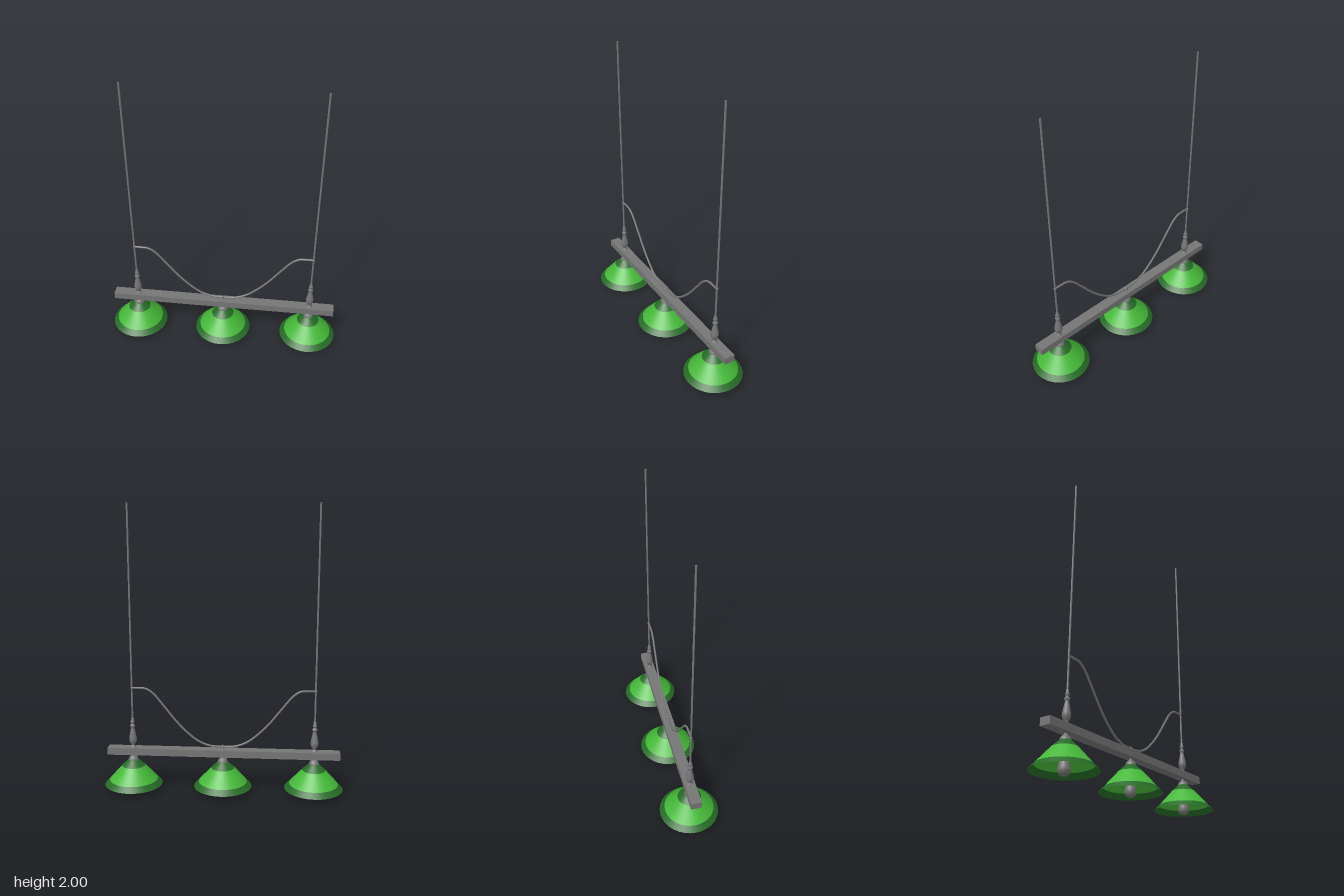
import * as THREE from 'three';

export function createModel() {
  const model = new THREE.Group();
  model.name = 'tripleHangingLamp';

  const mat = (name, color, side = THREE.FrontSide) => {
    const m = new THREE.MeshStandardMaterial({ color, side });
    m.name = name;
    return m;
  };
  const metal = mat('greyMetal', 0x757575);
  const green = mat('brightGreen', 0x45b838, THREE.DoubleSide);
  const darkGreen = mat('darkGreen', 0x256b26, THREE.DoubleSide);

  const add = (parent, name, geometry, material, x = 0, y = 0, z = 0) => {
    const mesh = new THREE.Mesh(geometry, material);
    mesh.name = name;
    mesh.position.set(x, y, z);
    parent.add(mesh);
    return mesh;
  };
  // Turned part from [radius, height] pairs, listed bottom to top
  const turned = (points, sides = 24) =>
    new THREE.LatheGeometry(points.map(([r, y]) => new THREE.Vector2(r, y)), sides);

  // Horizontal beam
  add(model, 'beam', new THREE.BoxGeometry(1.636, 0.05, 0.074), metal, 0, 0.275, 0);

  // Shades in three bands, with cap and bulb
  const bands = [
    ['shadeRim', [[0.205, 0.03], [0.171, 0.065]], darkGreen],
    ['shadeBody', [[0.171, 0.065], [0.081, 0.165]], green],
    ['shadeCollar', [[0.081, 0.165], [0.036, 0.208]], darkGreen],
  ];
  const cap = turned([[0.036, 0.203], [0.034, 0.215], [0.027, 0.229], [0.016, 0.238], [0.009, 0.241], [0.009, 0.255]]);
  const bulb = turned([[0, 0], [0.015, 0.003], [0.028, 0.011], [0.036, 0.024], [0.038, 0.038], [0.036, 0.055],
    [0.029, 0.085], [0.023, 0.11], [0.021, 0.13], [0.021, 0.205]]);
  for (const x of [-0.64, 0, 0.64]) {
    const lamp = new THREE.Group();
    lamp.name = 'lamp';
    lamp.position.x = x;
    for (const [name, points, material] of bands) add(lamp, name, turned(points, 32), material);
    add(lamp, 'shadeCap', cap, metal);
    add(lamp, 'bulb', bulb, metal);
    model.add(lamp);
  }

  // Hanging rods with turned balusters
  const baluster = turned([[0.022, 0.298], [0.022, 0.306], [0.013, 0.312], [0.013, 0.322], [0.022, 0.335],
    [0.027, 0.352], [0.027, 0.368], [0.021, 0.4], [0.014, 0.435], [0.011, 0.448], [0.018, 0.453],
    [0.018, 0.463], [0.01, 0.47], [0.01, 0.478], [0.015, 0.484], [0.015, 0.491], [0.009, 0.498], [0.009, 0.515], [0, 0.517]], 16);
  for (const x of [-0.64, 0.64]) {
    add(model, 'hangingRod', new THREE.CylinderGeometry(0.0065, 0.0065, 1.5, 10), metal, x, 1.25, 0);
    add(model, 'baluster', baluster, metal, x);
    add(model, 'rodJoint', new THREE.SphereGeometry(0.01, 10, 8), metal, x, 0.733, 0);
  }

  // Sagging brace, mirrored about the middle
  const half = [[0.64, 0.733], [0.59, 0.733], [0.54, 0.729], [0.49, 0.697], [0.41, 0.601], [0.33, 0.5],
    [0.25, 0.417], [0.17, 0.355], [0.09, 0.324]];
  const path = [
    ...half.map(([x, y]) => new THREE.Vector3(-x, y, 0)),
    new THREE.Vector3(0, 0.319, 0),
    ...half.slice().reverse().map(([x, y]) => new THREE.Vector3(x, y, 0)),
  ];
  add(model, 'curvedBrace', new THREE.TubeGeometry(new THREE.CatmullRomCurve3(path), 72, 0.0075, 8), metal);

  // Small stud holding the brace to the beam
  add(model, 'braceStud', turned([[0.013, 0.298], [0.013, 0.305], [0.007, 0.31], [0.012, 0.319], [0.007, 0.328], [0, 0.333]], 12), metal);

  return model;
}
